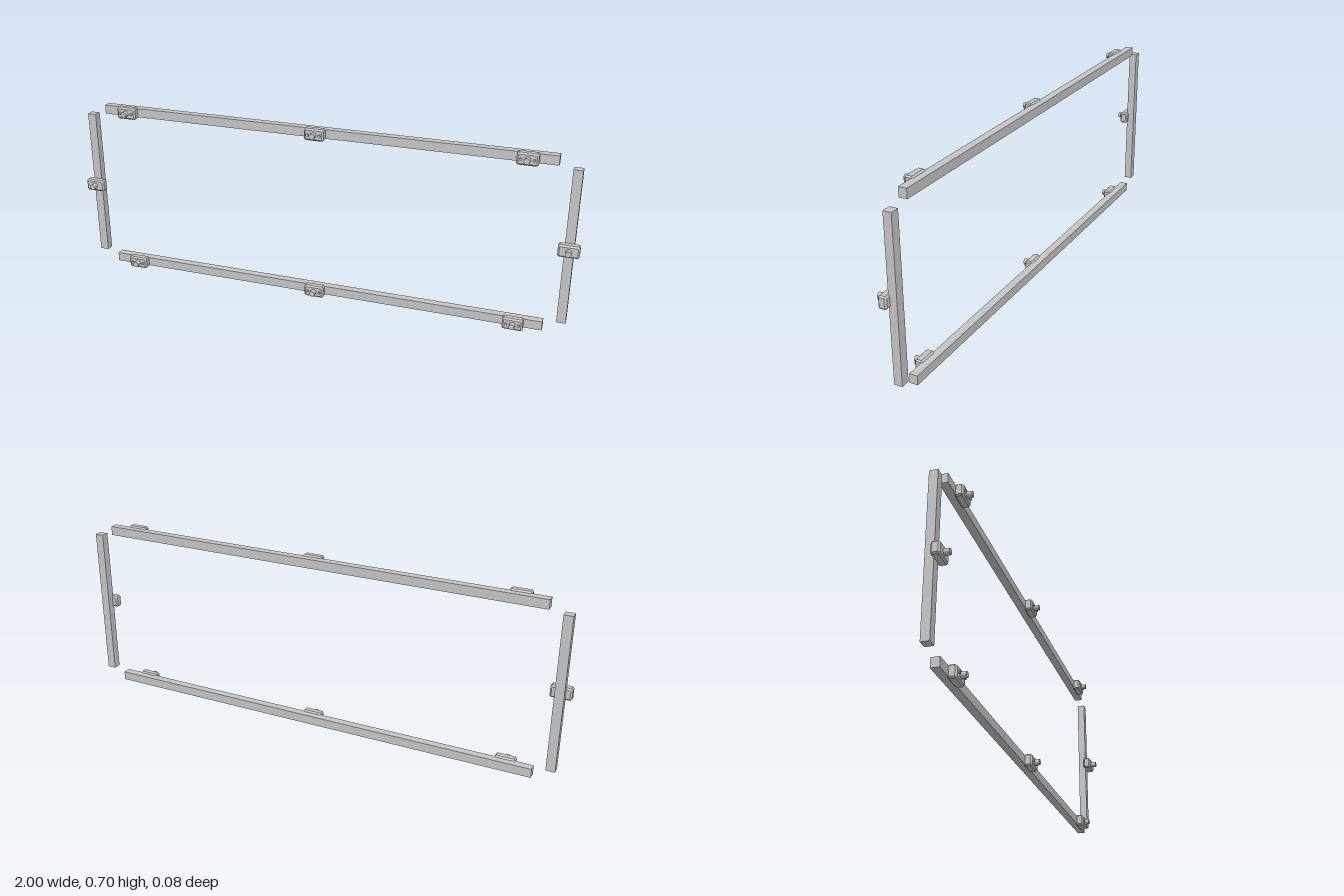
import * as THREE from 'three';

export function createModel() {
  const model = new THREE.Group();
  model.name = 'railFrame';
  const grey = new THREE.MeshStandardMaterial({ color: 0xc4c4c4 });
  grey.name = 'lightGrey';

  const add = (parent, name, geometry, x, y, z) => {
    const mesh = new THREE.Mesh(geometry, grey);
    mesh.name = name;
    mesh.position.set(x, y, z);
    parent.add(mesh);
  };

  // Clip body: a block chamfered along every edge
  const W = 0.078, H = 0.047, D = 0.032, B = 0.006;
  const w = W / 2 - B, h = H / 2 - B, c = 0.002;
  const outline = new THREE.Shape([
    [-w + c, -h], [w - c, -h], [w, -h + c], [w, h - c],
    [w - c, h], [-w + c, h], [-w, h - c], [-w, -h + c],
  ].map(([x, y]) => new THREE.Vector2(x, y)));
  const bodyGeo = new THREE.ExtrudeGeometry(outline, {
    depth: D - 2 * B, bevelEnabled: true, bevelSize: B, bevelThickness: B, bevelSegments: 1,
  }).translate(0, 0, -(D - 2 * B) / 2);

  // Round pins face forward
  const pin = (r, length) => new THREE.CylinderGeometry(r, r, length, 20).rotateX(Math.PI / 2);
  const knobGeo = pin(0.0112, 0.022);
  const studGeo = pin(0.005, 0.008);

  const addClip = (x, y, studs) => {
    const clip = new THREE.Group();
    clip.name = 'clip';
    clip.position.set(x, y, 0.003);
    add(clip, 'clipBody', bodyGeo, 0, 0, 0);
    add(clip, 'knob', knobGeo, 0, 0, 0.025);
    if (studs) for (const s of [-1, 1]) add(clip, 'stud', studGeo, s * 0.024, 0, 0.018);
    model.add(clip);
  };

  // Long horizontal rails, each with three clips
  const railGeo = new THREE.BoxGeometry(1.79, 0.0355, 0.031);
  for (const [name, y] of [['bottomRail', 0.0245], ['topRail', 0.6825]]) {
    add(model, name, railGeo, 0, y, -0.023);
    for (const x of [-0.788, 0, 0.788]) addClip(x, y, true);
  }

  // Short upright posts, each with one clip at the middle
  const postGeo = new THREE.BoxGeometry(0.0345, 0.604, 0.031);
  for (const [name, s] of [['leftPost', 1], ['rightPost', -1]]) {
    add(model, name, postGeo, s * 0.961, 0.3535, -0.023);
    addClip(s * 0.961, 0.3535, false);
  }

  return model;
}
